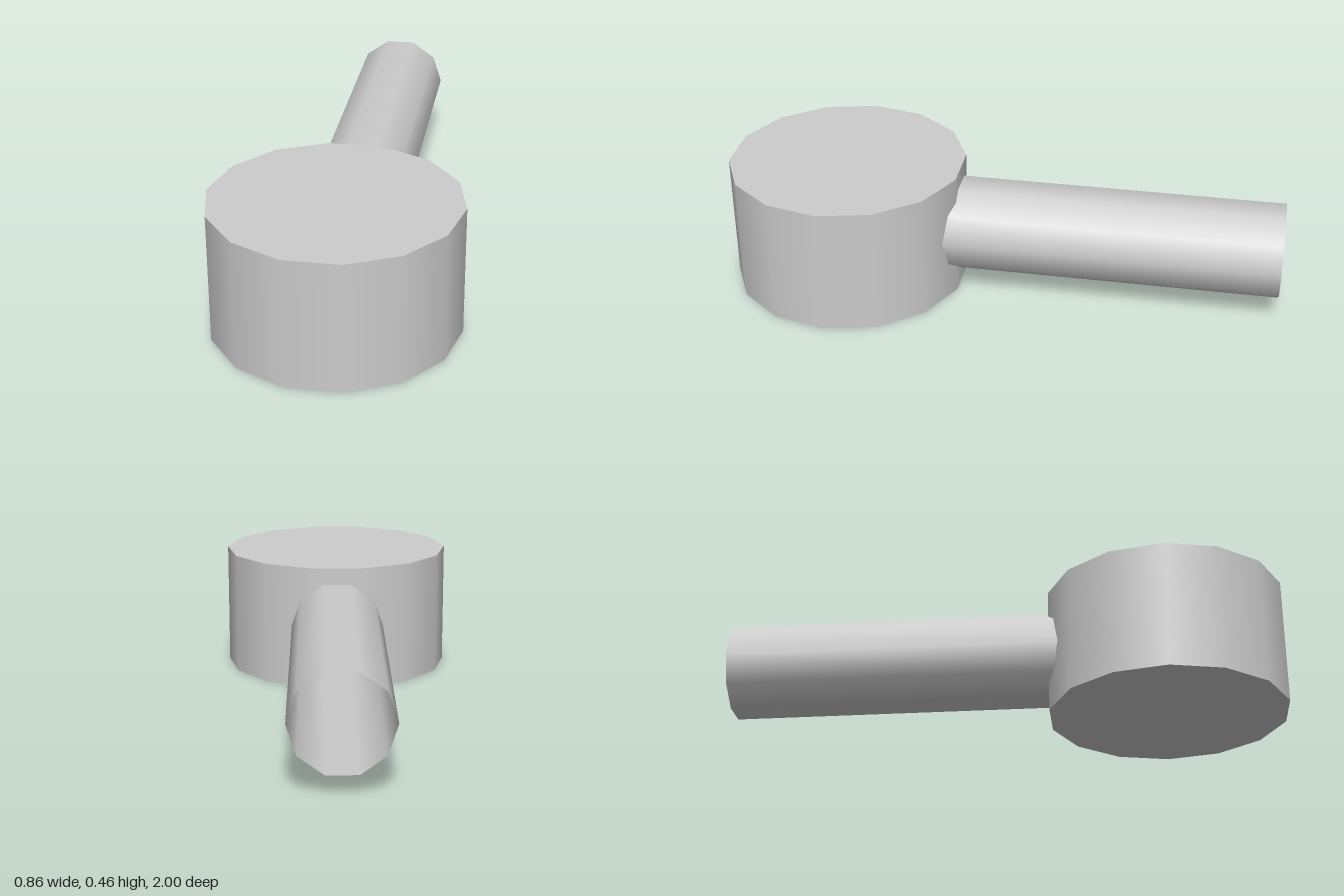
import * as THREE from 'three';

export function createModel() {
  const model = new THREE.Group();
  const grey = new THREE.MeshStandardMaterial({ color: 0xcccccc, side: THREE.DoubleSide });
  grey.name = 'grey';

  // Round body: a capped 14-sided drum with a corner on each side
  const drumRadius = 0.43, drumHeight = 0.46, drumZ = 0.581;
  const drum = new THREE.Mesh(
    new THREE.CylinderGeometry(drumRadius, drumRadius, drumHeight, 14, 1, false, Math.PI / 2),
    grey
  );
  drum.name = 'drum';
  drum.position.set(0, drumHeight / 2, drumZ);
  model.add(drum);

  // Hollow handle: an open 10-sided tube running back from inside the drum
  const tubeRadius = 0.172, tubeBack = -1, tubeFront = 0.3;
  const tube = new THREE.CylinderGeometry(
    tubeRadius, tubeRadius, tubeFront - tubeBack, 10, 1, true, Math.PI / 2
  );
  tube.rotateX(Math.PI / 2);
  const handle = new THREE.Mesh(tube, grey);
  handle.name = 'handleTube';
  handle.position.set(0, 0.233, (tubeFront + tubeBack) / 2);
  model.add(handle);

  return model;
}
